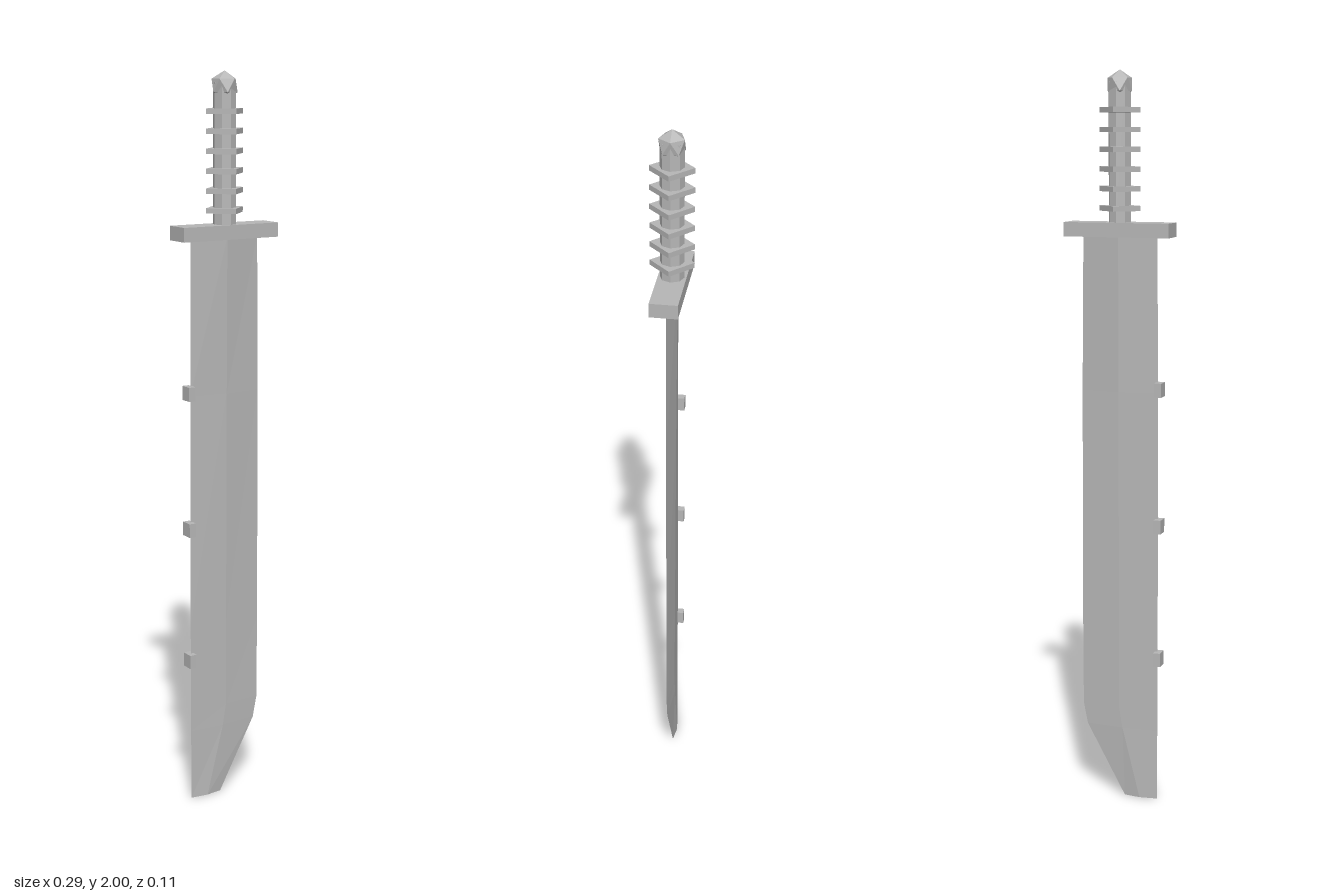
import * as THREE from 'three';

const steel = new THREE.MeshStandardMaterial({ color: 0xb6b6b6, flatShading: true });
steel.name = 'steel grey';

function add(group, name, geometry, x, y, z) {
  const mesh = new THREE.Mesh(geometry, steel);
  mesh.name = name;
  mesh.position.set(x, y, z);
  group.add(mesh);
  return mesh;
}

// Diamond cross-sections lofted from the tip up to the guard
function bladeGeometry() {
  // height, spine x, ridge x, cutting edge x, half thickness
  const sections = [
    [0, -0.11, -0.06, -0.015, 0.006],
    [0.2, -0.11, -0.01, 0.095, 0.007],
    [0.26, -0.11, 0, 0.107, 0.007],
    [0.5, -0.11, 0, 0.108, 0.008],
    [1.15, -0.108, 0, 0.107, 0.011],
    [1.57, -0.105, 0, 0.103, 0.014],
  ];
  const positions = [];
  const index = [];
  for (const [y, spine, ridge, edge, t] of sections) {
    positions.push(spine, y, 0, ridge, y, t, edge, y, 0, ridge, y, -t);
  }
  for (let s = 0; s < sections.length - 1; s++) {
    for (let i = 0; i < 4; i++) {
      const a = s * 4 + i;
      const b = s * 4 + (i + 1) % 4;
      index.push(a, b, b + 4, a, b + 4, a + 4);
    }
  }
  const top = (sections.length - 1) * 4;
  index.push(0, 2, 1, 0, 3, 2, top, top + 1, top + 2, top, top + 2, top + 3);
  const geometry = new THREE.BufferGeometry();
  geometry.setAttribute('position', new THREE.Float32BufferAttribute(positions, 3));
  geometry.setIndex(index);
  const flat = geometry.toNonIndexed();
  flat.computeVertexNormals();
  return flat;
}

export function createModel() {
  const sword = new THREE.Group();
  sword.name = 'sword';

  add(sword, 'blade', bladeGeometry(), 0, 0, 0);

  // Small studs along the spine
  for (const y of [0.41, 0.785, 1.16]) {
    add(sword, 'spineStud', new THREE.BoxGeometry(0.02, 0.038, 0.035), -0.112, y, 0);
  }

  add(sword, 'guard', new THREE.BoxGeometry(0.292, 0.038, 0.073), 0, 1.585, 0);
  add(sword, 'grip', new THREE.CylinderGeometry(0.031, 0.031, 0.37, 8), 0, 1.785, 0);

  // Square plates, corner forward, stacked up the grip
  for (let i = 0; i < 6; i++) {
    add(sword, 'gripPlate', new THREE.CylinderGeometry(0.057, 0.057, 0.014, 4), 0, 1.641 + i * 0.0512, 0);
  }

  // Faceted pommel standing on one vertex
  const pommel = new THREE.IcosahedronGeometry(0.038, 0);
  pommel.rotateX(-Math.atan((1 + Math.sqrt(5)) / 2));
  pommel.rotateY(Math.PI / 2);
  add(sword, 'pommel', pommel, 0, 1.962, 0);

  return sword;
}
